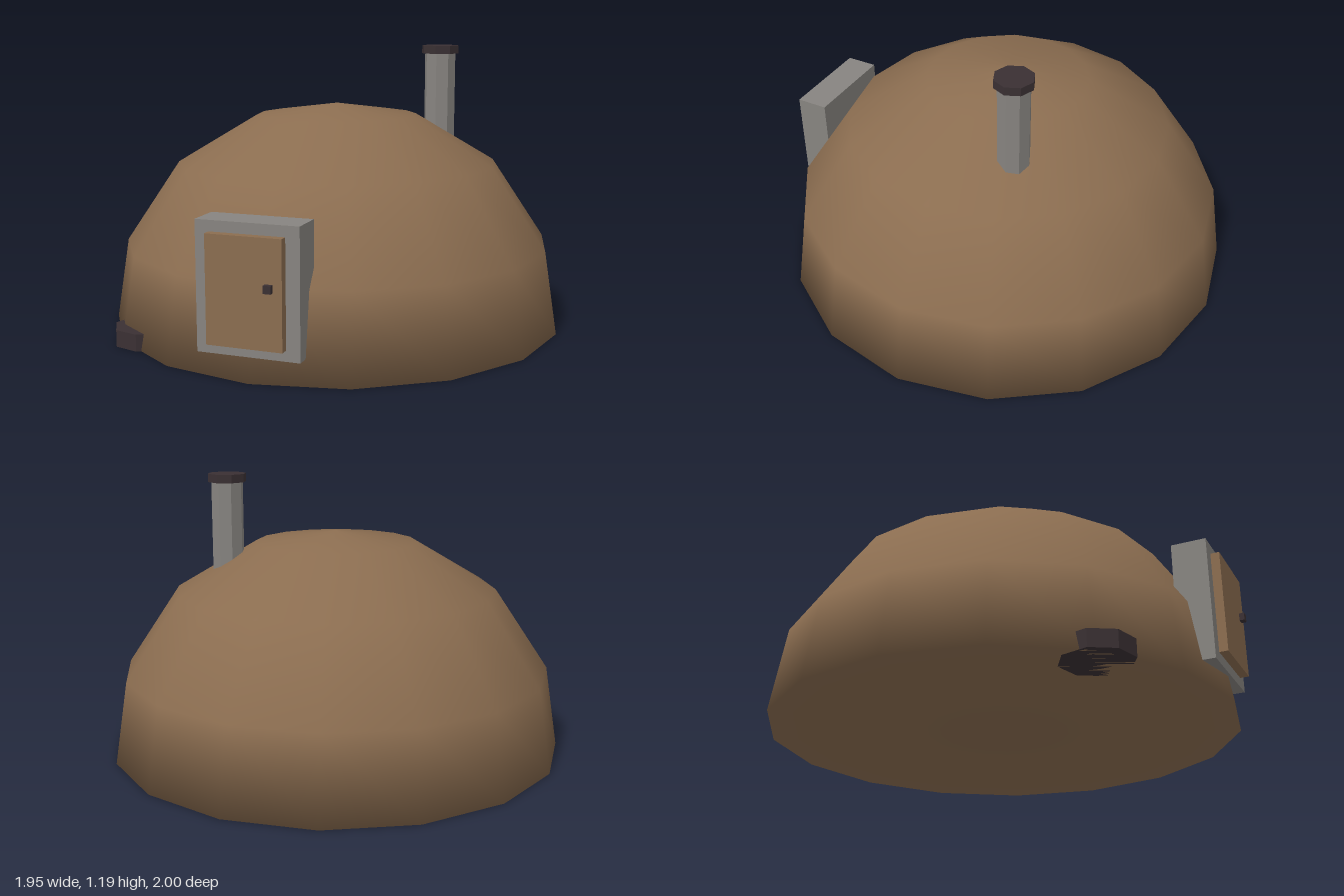
import * as THREE from 'three';

const mat = (name, color) => {
  const m = new THREE.MeshStandardMaterial({ color });
  m.name = name;
  return m;
};

export function createModel() {
  const group = new THREE.Group();
  const earth = mat('earth brown', 0x8b6d50);
  const stone = mat('stone grey', 0x878480);
  const dark = mat('dark iron', 0x3a3033);

  const add = (name, geometry, material, x, y, z) => {
    const mesh = new THREE.Mesh(geometry, material);
    mesh.name = name;
    mesh.position.set(x, y, z);
    group.add(mesh);
    return mesh;
  };
  const box = (name, w, h, d, material, x, y, z) =>
    add(name, new THREE.BoxGeometry(w, h, d), material, x, y, z);
  // Faceted eight-sided post from y0 to y1
  const post = (name, r, y0, y1, material, x, z) => {
    const g = new THREE.CylinderGeometry(r, r, y1 - y0, 8).toNonIndexed();
    g.computeVertexNormals();
    return add(name, g, material, x, (y0 + y1) / 2, z);
  };

  // Closed dome, softly shaded around the base rim
  const profile = [[0, 0], [0.975, 0], [0.92, 0.348], [0.69, 0.692], [0.345, 0.897], [0, 0.945]]
    .map(([r, y]) => new THREE.Vector2(r, y));
  add('dome', new THREE.LatheGeometry(profile, 16), earth, 0, 0, -0.025);

  // Doorway
  box('doorFrame', 0.41, 0.5, 0.14, stone, 0, 0.35, 0.875);
  box('door', 0.3, 0.415, 0.035, earth, 0, 0.35, 0.9625);
  box('doorHandle', 0.03, 0.03, 0.02, dark, 0.1, 0.375, 0.99);

  // Chimney
  post('chimneyPipe', 0.068, 0.6, 1.16, stone, 0.4, -0.255);
  post('chimneyCap', 0.082, 1.155, 1.19, dark, 0.4, -0.255);

  // Low block beside the wall
  post('baseBlock', 0.142, 0, 0.07, dark, -0.59, 0.625).rotation.y = 0.14;

  return group;
}
